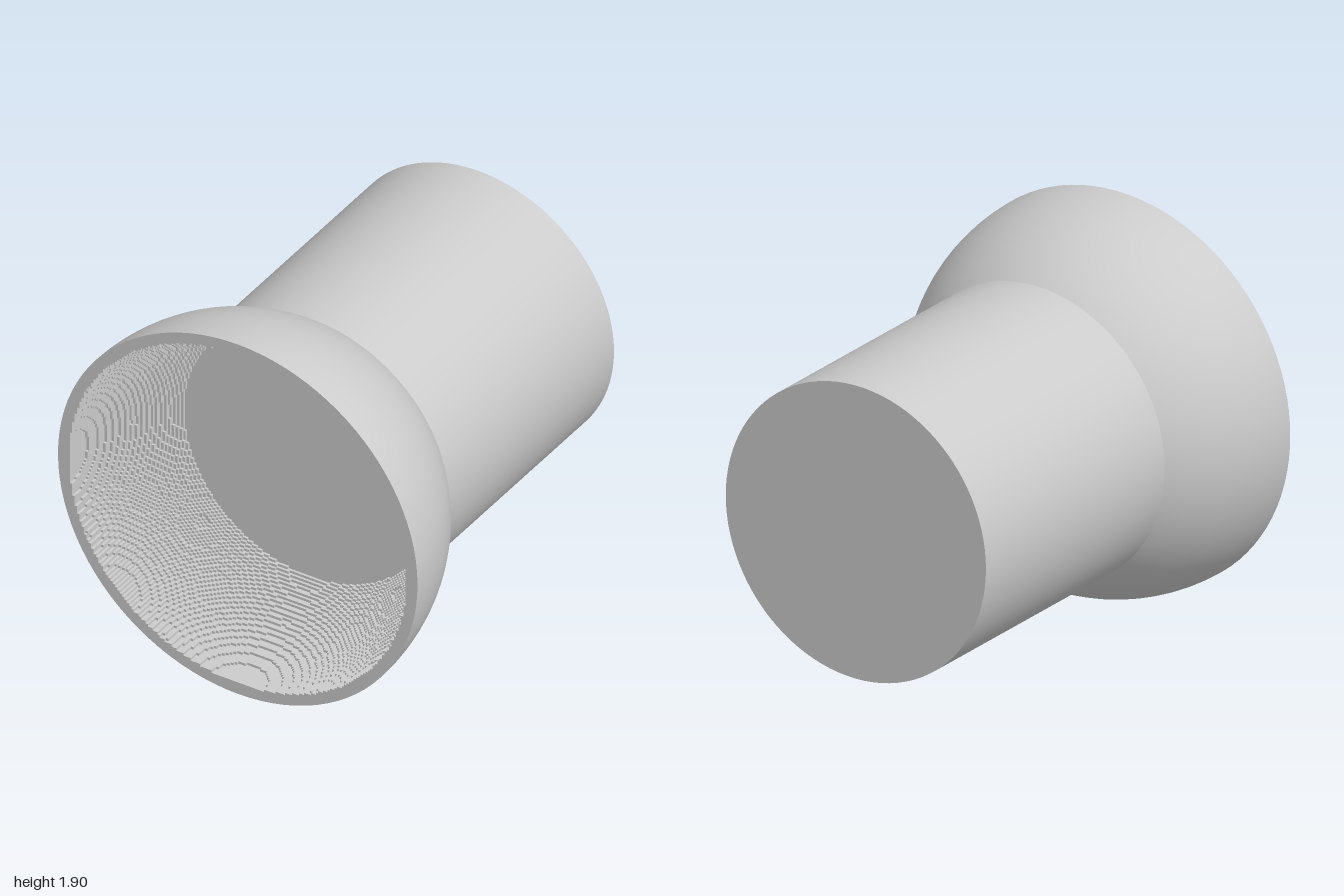
import * as THREE from 'three';

const CY = 0.953;        // height of the axis
const OUTER = 0.95;      // outer radius of the bowl
const INNER = 0.892;     // inner radius of the bowl
const SHAFT = 0.712;     // radius of the shaft
const STEP = 0.0125;     // size of the steps inside the bowl
const DEPTH = 0.6;       // depth of the flat bowl floor

// Half-sphere hollow cut in small square steps, opening towards +z
function steppedHollow() {
  const pos = [];
  const quad = (a, b, c, d) => pos.push(...a, ...b, ...c, ...a, ...c, ...d);
  const n = Math.ceil(INNER / STEP) + 2;
  const height = (i, j) => {
    const r = Math.hypot(i + 0.5, j + 0.5) * STEP;
    if (r >= INNER) return 1;
    const d = Math.min(DEPTH, Math.sqrt(INNER * INNER - r * r));
    return 1 - Math.round(d / STEP) * STEP;
  };
  for (let i = -n; i < n; i++) {
    for (let j = -n; j < n; j++) {
      const r = Math.hypot(i + 0.5, j + 0.5) * STEP;
      if (r > INNER + 2 * STEP) continue;
      const h = height(i, j), hx = height(i + 1, j), hy = height(i, j + 1);
      const x0 = i * STEP, x1 = x0 + STEP, y0 = j * STEP, y1 = y0 + STEP;
      // tread, left out where the floor disc lies
      if (h > 1 - DEPTH + 0.001) quad([x0, y0, h], [x1, y0, h], [x1, y1, h], [x0, y1, h]);
      // risers, whose winding follows the sign of the height change
      if (h !== hx) quad([x1, y0, hx], [x1, y1, hx], [x1, y1, h], [x1, y0, h]);
      if (h !== hy) quad([x0, y1, hy], [x0, y1, h], [x1, y1, h], [x1, y1, hy]);
    }
  }
  const g = new THREE.BufferGeometry();
  g.setAttribute('position', new THREE.Float32BufferAttribute(pos, 3));
  g.computeVertexNormals();
  return g;
}

export function createModel() {
  const model = new THREE.Group();
  model.name = 'bowlOnShaft';
  const material = new THREE.MeshStandardMaterial({ color: 0xcccccc });
  const add = (name, geometry, z = 0) => {
    const mesh = new THREE.Mesh(geometry, material);
    mesh.name = name;
    mesh.position.set(0, CY, z);
    model.add(mesh);
  };

  // Bowl outside: sphere zone from the shaft to the open rim
  const start = Math.asin(SHAFT / OUTER);
  const profile = [];
  for (let i = 0; i <= 20; i++) {
    const a = start + (Math.PI / 2 - start) * i / 20;
    profile.push(new THREE.Vector2(OUTER * Math.sin(a), -OUTER * Math.cos(a)));
  }
  add('bowlOutside', new THREE.LatheGeometry(profile, 96).rotateX(Math.PI / 2), 1);

  // Rim, stepped hollow and flat floor
  add('bowlRim', new THREE.RingGeometry(INNER + STEP, OUTER, 96), 1);
  add('bowlHollow', steppedHollow());
  add('bowlFloor', new THREE.CircleGeometry(0.685, 96), 1 - DEPTH);

  // Solid shaft running to the back
  const front = 1 - OUTER * Math.cos(start);
  const length = front + 1;
  add('shaft', new THREE.CylinderGeometry(SHAFT, SHAFT, length, 96).rotateX(Math.PI / 2), -1 + length / 2);

  return model;
}
